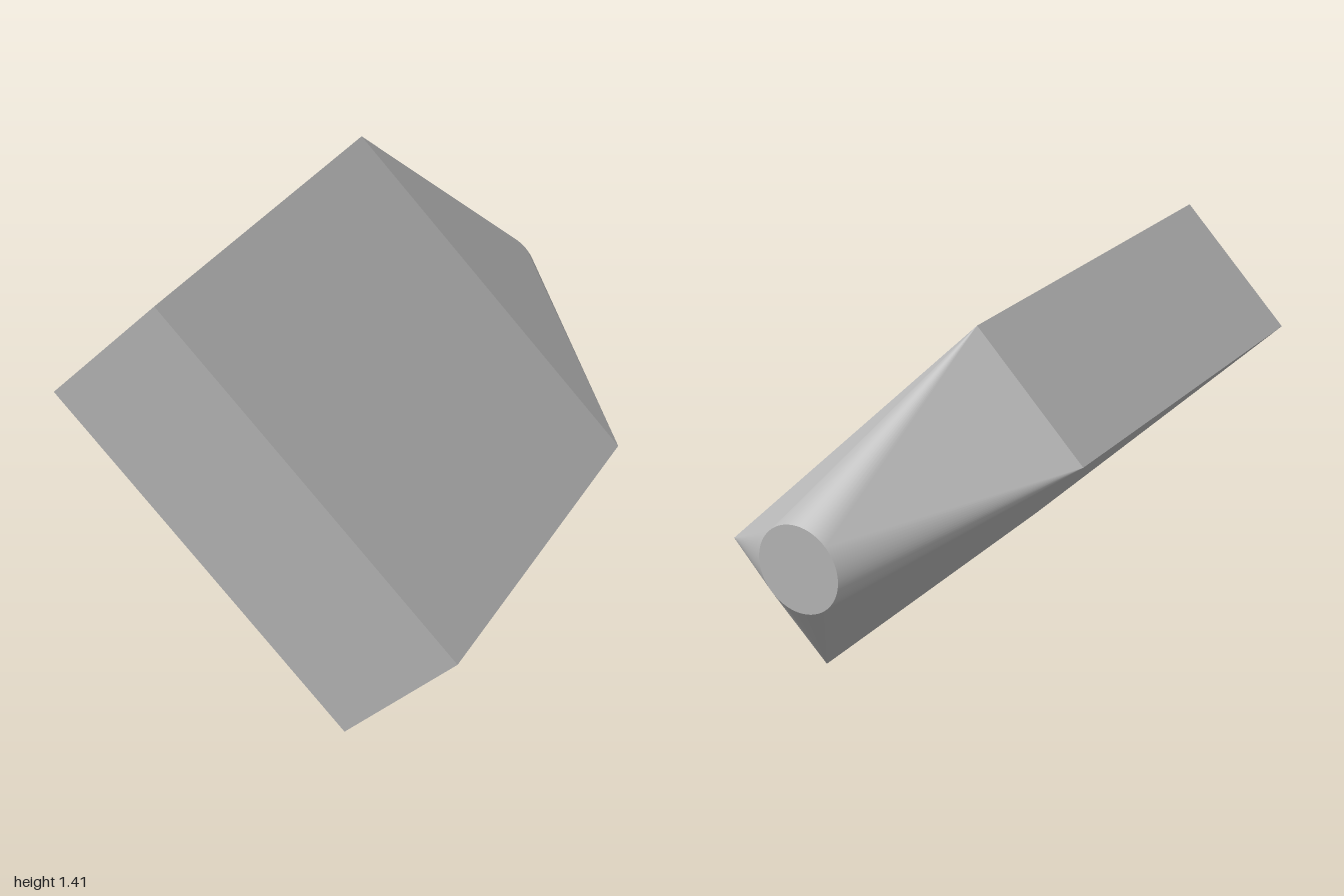
import * as THREE from 'three';

const HALF_W = 0.7215, HALF_H = 0.278; // rectangular section
const RADIUS = 0.154;                  // round outlet
const FRONT = 1, NECK = -0.445, BACK = -1;
const STEPS = 16;                      // segments per quarter arc

// Rectangle-to-circle loft: four flat triangles joined by four corner cones
function transitionGeometry() {
  const positions = [], normals = [];
  const add = (p, n) => {
    positions.push(p.x, p.y, p.z);
    normals.push(n.x, n.y, n.z);
  };
  const signs = [[1, 1], [-1, 1], [-1, -1], [1, -1]];
  const corner = (i) => {
    const [sx, sy] = signs[(i + 4) % 4];
    return new THREE.Vector3(sx * HALF_W, sy * HALF_H, NECK);
  };
  const rim = (t) => new THREE.Vector3(RADIUS * Math.cos(t), RADIUS * Math.sin(t), BACK);
  const normalAt = (t, c) => new THREE.Vector3(-Math.sin(t), Math.cos(t), 0)
    .cross(c.clone().sub(rim(t))).normalize();

  for (let i = 0; i < 4; i++) {
    const start = i * Math.PI / 2, c = corner(i);
    // flat side
    const n = normalAt(start, c);
    add(corner(i - 1), n);
    add(rim(start), n);
    add(c, n);
    // smooth corner cone
    for (let k = 0; k < STEPS; k++) {
      const t0 = start + k / STEPS * Math.PI / 2;
      const t1 = start + (k + 1) / STEPS * Math.PI / 2;
      add(rim(t0), normalAt(t0, c));
      add(rim(t1), normalAt(t1, c));
      add(c, normalAt((t0 + t1) / 2, c));
    }
  }
  const geometry = new THREE.BufferGeometry();
  geometry.setAttribute('position', new THREE.Float32BufferAttribute(positions, 3));
  geometry.setAttribute('normal', new THREE.Float32BufferAttribute(normals, 3));
  return geometry;
}

export function createModel() {
  const model = new THREE.Group();
  model.name = 'rectangleToRoundBlock';
  const grey = new THREE.MeshStandardMaterial({ color: 0xb8b8b8 });
  grey.name = 'light grey';
  const addPart = (name, geometry) => {
    const mesh = new THREE.Mesh(geometry, grey);
    mesh.name = name;
    model.add(mesh);
    return mesh;
  };

  // rectangular body
  addPart('body', new THREE.BoxGeometry(2 * HALF_W, 2 * HALF_H, FRONT - NECK))
    .position.z = (FRONT + NECK) / 2;

  // tapered transition and its round end
  addPart('transition', transitionGeometry());
  const cap = addPart('roundEnd', new THREE.CircleGeometry(RADIUS, STEPS * 4));
  cap.rotation.y = Math.PI;
  cap.position.z = BACK;

  // the whole block is tilted and rests on its lower edge
  model.rotation.z = -Math.PI / 4;
  model.position.y = (HALF_W + HALF_H) * Math.SQRT1_2;
  return model;
}
